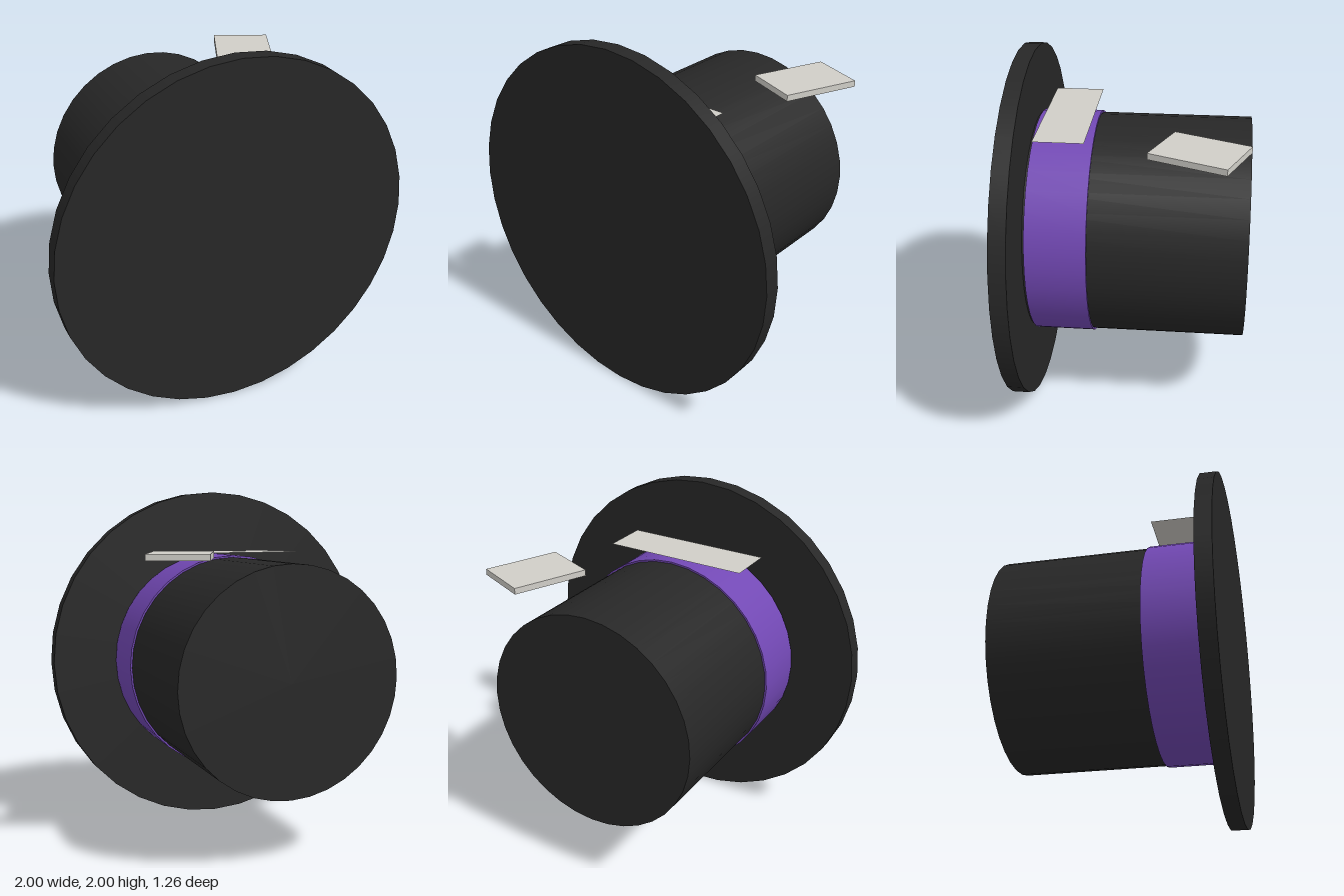
import * as THREE from 'three';

const SIDES = 36;
const AXIS_Y = 1; // height of the hat's horizontal axis

function material(name, color, side = THREE.FrontSide) {
  const m = new THREE.MeshStandardMaterial({ color, side });
  m.name = name;
  return m;
}

// Cylinder lying along z, from zBack to zFront
function disc(name, radius, zBack, zFront, mat) {
  const geometry = new THREE.CylinderGeometry(radius, radius, zFront - zBack, SIDES);
  geometry.rotateX(Math.PI / 2);
  const mesh = new THREE.Mesh(geometry, mat);
  mesh.name = name;
  mesh.position.set(0, AXIS_Y, (zBack + zFront) / 2);
  return mesh;
}

export function createModel() {
  const felt = material('black felt', 0x272727);
  const ribbon = material('purple ribbon', 0x7248b4);
  const paper = material('pale card', 0xd0cec8, THREE.DoubleSide);

  const hat = new THREE.Group();
  hat.name = 'topHat';
  hat.add(
    disc('brim', 1, 0.54, 0.63, felt),
    disc('crown', 0.62, -0.63, 0.55, felt),
    disc('hatBand', 0.63, 0.205, 0.53, ribbon)
  );

  // Flat label floating just above the band
  const label = new THREE.Mesh(new THREE.PlaneGeometry(0.83, 0.27).rotateX(-Math.PI / 2), paper);
  label.name = 'bandLabel';
  label.position.set(0, 1.645, 0.365);
  hat.add(label);

  // Turned card above the crown
  const card = new THREE.Mesh(new THREE.BoxGeometry(0.32, 0.034, 0.43), paper);
  card.name = 'card';
  card.position.set(0.507, 1.657, -0.365);
  card.rotation.y = -Math.PI / 8;
  hat.add(card);

  return hat;
}
